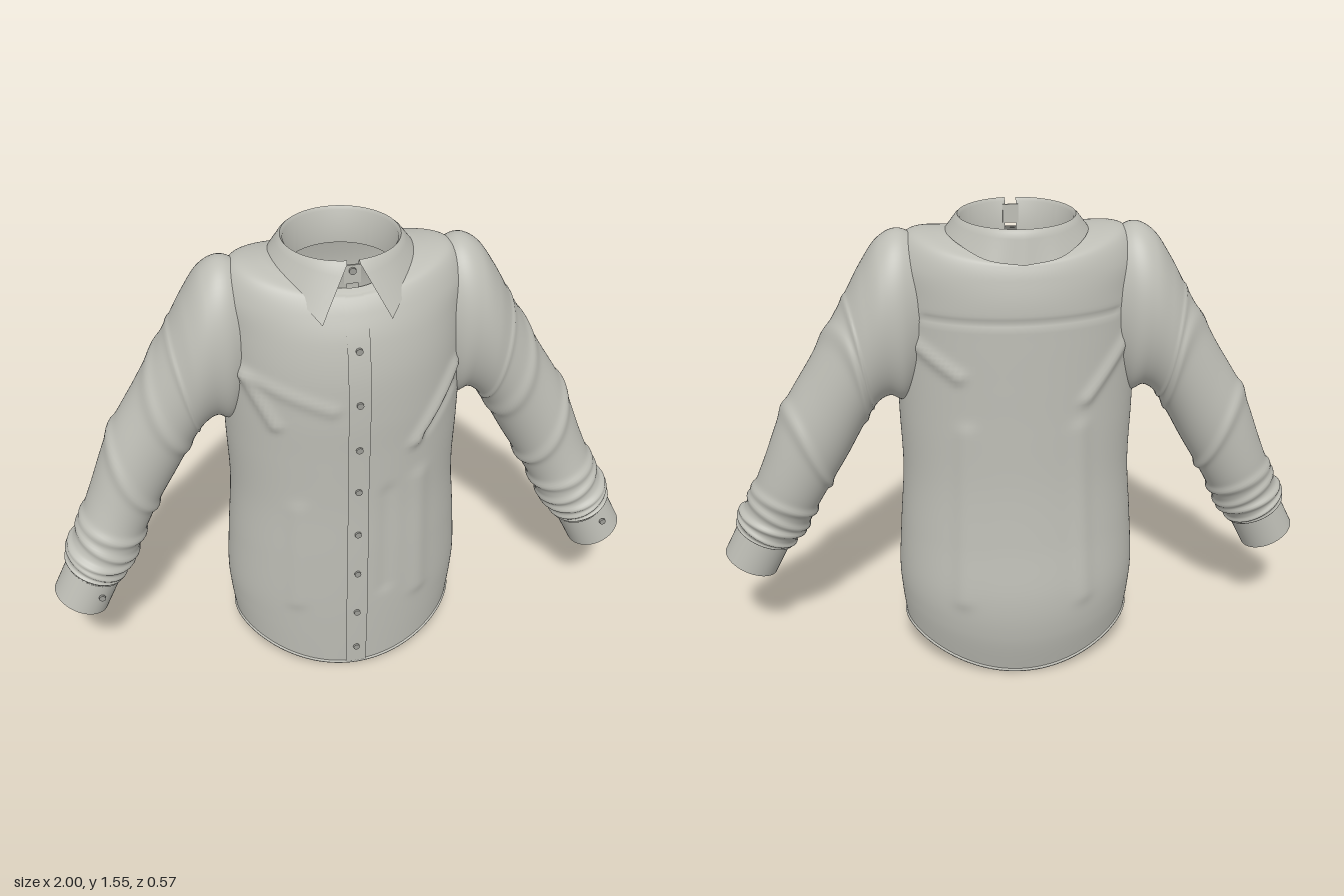
import * as THREE from 'three';
import { toCreasedNormals } from 'three/addons/utils/BufferGeometryUtils.js';

const fabric = new THREE.MeshStandardMaterial({ color: 0xbdbdb5, side: THREE.DoubleSide });
fabric.name = 'grey fabric';
const buttonGrey = new THREE.MeshStandardMaterial({ color: 0x9c9c96 });
buttonGrey.name = 'button grey';

// Smooth interpolation through rows of numbers; t runs from 0 to rows.length - 1
function smooth(rows, t) {
  const n = rows.length - 1;
  const i = Math.min(Math.floor(t), n - 1), f = t - i;
  const [p, a, b, q] = [rows[Math.max(i - 1, 0)], rows[i], rows[i + 1], rows[Math.min(i + 2, n)]];
  return a.map((_, k) => a[k] + 0.5 * f * (b[k] - p[k] + f * (2 * p[k] - 5 * a[k] + 4 * b[k] - q[k]
    + f * (3 * (a[k] - b[k]) + q[k] - p[k]))));
}

// Surface from a point function of u, v in 0..1
function surface(fn, nu, nv, closed) {
  const pos = [], idx = [], cols = closed ? nu : nu + 1;
  for (let j = 0; j <= nv; j++) {
    for (let i = 0; i < cols; i++) pos.push(...fn(i / nu, j / nv));
  }
  for (let j = 0; j < nv; j++) {
    for (let i = 0; i < nu; i++) {
      const k = (i + 1) % cols;
      const a = j * cols + i, b = j * cols + k, c = a + cols, d = b + cols;
      idx.push(a, b, d, a, d, c);
    }
  }
  const g = new THREE.BufferGeometry();
  g.setAttribute('position', new THREE.Float32BufferAttribute(pos, 3));
  g.setIndex(idx);
  g.computeVertexNormals();
  return g;
}

// Torso rings: height, half width, front depth, back depth, rise at the sides
const TORSO = [
  [0, 0.385, 0.25, 0.23, 0.125], [0.15, 0.397, 0.257, 0.268, 0.08], [0.3, 0.402, 0.262, 0.278, 0.03],
  [0.5, 0.392, 0.265, 0.257, 0], [0.7, 0.378, 0.266, 0.243, 0], [0.9, 0.383, 0.272, 0.24, 0],
  [1.05, 0.385, 0.278, 0.24, 0], [1.2, 0.385, 0.274, 0.24, 0], [1.32, 0.385, 0.252, 0.238, 0],
  [1.4, 0.385, 0.22, 0.225, 0.02], [1.44, 0.34, 0.195, 0.212, 0.06], [1.45, 0.25, 0.18, 0.205, 0.06],
  [1.46, 0.183, 0.163, 0.193, 0.04],
];
// Folds: side (1 front, -1 back), start x y, end x y, width, height
const FOLDS = [
  [1, 0.33, 1.14, 0.19, 0.93, 0.02, 0.014], [1, 0.33, 1.06, 0.23, 0.95, 0.016, -0.008],
  [1, -0.35, 1.2, -0.08, 1.1, 0.02, 0.008], [1, -0.33, 1.18, -0.25, 1.03, 0.018, 0.012],
  [1, 0.1, 0.35, 0.1, 0.75, 0.025, -0.006], [1, 0.22, 0.3, 0.21, 0.78, 0.03, 0.008],
  [1, -0.2, 0.3, -0.19, 0.7, 0.03, 0.006], [-1, -0.36, 1.2, -0.2, 1.0, 0.02, 0.012],
  [-1, 0.36, 1.2, 0.2, 1.09, 0.02, 0.012], [-1, 0.2, 0.3, 0.18, 0.9, 0.03, 0.008],
  [-1, -0.2, 0.3, -0.18, 0.9, 0.03, 0.008], [-1, -0.3, 1.27, 0.3, 1.27, 0.01, -0.006],
];

function foldHeight(x, y, side) {
  let h = 0;
  for (const [s, x1, y1, x2, y2, w, amp] of FOLDS) {
    if (s * side <= 0) continue;
    const dx = x2 - x1, dy = y2 - y1;
    const k = THREE.MathUtils.clamp(((x - x1) * dx + (y - y1) * dy) / (dx * dx + dy * dy), 0, 1);
    const d = Math.hypot(x - x1 - k * dx, y - y1 - k * dy) / w;
    h += amp * Math.exp(-d * d);
  }
  return h;
}

function torsoPoint(a, t, out = 0) {
  const [y, w, zf, zb, rise] = smooth(TORSO, t);
  const s = Math.sin(a), c = Math.cos(a), py = y + rise * s * s;
  const h = out + foldHeight(w * s, py, c);
  return [(w + h) * s, py, ((c > 0 ? zf : zb) + h) * c];
}

function torsoRow(y) {
  let t = 0;
  while (t < 11.9 && smooth(TORSO, t)[0] < y) t += 0.01;
  return t;
}

// Sleeve rings: top x y, underside x y, centre z, half depth
const SLEEVE = [
  [0.27, 1.46, 0.3, 1.05, -0.01, 0.11], [0.36, 1.512, 0.36, 0.955, -0.01, 0.155],
  [0.43, 1.485, 0.41, 0.968, -0.01, 0.16], [0.49, 1.4, 0.45, 0.945, -0.008, 0.155],
  [0.55, 1.29, 0.49, 0.885, -0.01, 0.142], [0.66, 1.1, 0.555, 0.765, -0.01, 0.127],
  [0.76, 0.93, 0.61, 0.67, -0.005, 0.12], [0.84, 0.73, 0.66, 0.58, 0.008, 0.117],
  [0.9, 0.59, 0.705, 0.49, 0.03, 0.113], [0.94, 0.515, 0.755, 0.42, 0.045, 0.112],
  [0.945, 0.475, 0.778, 0.395, 0.058, 0.097],
];
// Sleeve wrinkles: position along the rings, width, height, slant, turn
const WRINKLES = [
  [3.7, 0.08, 0.006, 0.3, 0.5], [4.3, 0.15, 0.009, 0.5, 1], [6.1, 0.15, 0.01, 0.25, 2],
  [7.5, 0.13, 0.009, 0.15, 0.5], [8.0, 0.13, 0.01, 0.12, 2.5], [8.5, 0.14, 0.012, 0.15, 1],
  [9.0, 0.15, 0.01, 0.12, 3], [9.5, 0.16, 0.009, 0.08, 0],
];
const CUFF = [
  [0.946, 0.477, 0.776, 0.392, 0.06, 0.096], [1.0, 0.37, 0.83, 0.285, 0.068, 0.097],
  [0.993, 0.367, 0.837, 0.288, 0.068, 0.089], [0.939, 0.474, 0.783, 0.395, 0.06, 0.088],
];

function sleevePoint(rows, side, a, t, wrinkles = []) {
  const [tx, ty, bx, by, zc, zr] = smooth(rows, t);
  let h = 0;
  for (const [p, w, amp, slant, turn] of wrinkles) {
    h += amp * Math.exp(-(((t - p - slant * Math.cos(a - turn)) / w) ** 2));
  }
  const len = Math.hypot(tx - bx, ty - by) / 2, k = Math.cos(a) * (1 + h / len) / 2;
  return [side * ((tx + bx) / 2 + (tx - bx) * k), (ty + by) / 2 + (ty - by) * k, zc + (zr + h) * Math.sin(a)];
}

export function createModel() {
  const shirt = new THREE.Group();
  shirt.name = 'shirt';
  const add = (name, geometry, material = fabric, parent = shirt) => {
    const mesh = new THREE.Mesh(geometry, material);
    mesh.name = name;
    parent.add(mesh);
    return mesh;
  };
  const TAU = Math.PI * 2, last = TORSO.length - 1;

  // Body with a curved hem and a raised edge along it
  add('torso', surface((u, v) => torsoPoint(u * TAU, v * last), 144, 130, true));
  const hem = Array.from({ length: 64 }, (_, i) => new THREE.Vector3(...torsoPoint(i / 64 * TAU, 0.04)));
  add('hem', new THREE.TubeGeometry(new THREE.CatmullRomCurve3(hem, true), 128, 0.006, 6, true));

  // Button strip and buttons down the front
  add('placket', surface((u, v) => torsoPoint((u - 0.5) * 0.18, v * 11.5, 0.004), 8, 90, false));
  const button = new THREE.CylinderGeometry(0.011, 0.011, 0.008, 16).rotateX(Math.PI / 2);
  for (const y of [0.08, 0.25, 0.43, 0.6, 0.78, 0.95, 1.12, 1.3]) {
    const [x, py, z] = torsoPoint(0, torsoRow(y), 0.007);
    add('frontButton', button, buttonGrey).position.set(x, py, z);
  }

  // Sleeves and cuffs
  for (const side of [1, -1]) {
    const arm = new THREE.Group();
    arm.name = side > 0 ? 'leftSleeve' : 'rightSleeve';
    shirt.add(arm);
    add('sleeve', surface((u, v) => sleevePoint(SLEEVE, side, side * u * TAU, v * 10, WRINKLES), 72, 150, true), fabric, arm);
    const cuff = surface((u, v) => sleevePoint(CUFF, side, side * u * TAU, v * 3), 48, 3, true);
    add('cuff', toCreasedNormals(cuff, 0.8), fabric, arm);
    const [bx, by] = side > 0 ? [0.91, 0.415] : [-0.845, 0.38];
    add('cuffButton', button, buttonGrey, arm).position.set(bx, by, 0.16);
  }

  // Collar: an upright stand folding over into a leaf with two front points
  const edge = new THREE.CatmullRomCurve3([
    [0.105, 1.385, 0.238], [0.165, 1.445, 0.165], [0.213, 1.49, 0.07], [0.222, 1.505, -0.03],
    [0.19, 1.495, -0.13], [0.11, 1.465, -0.208], [0, 1.45, -0.228],
  ].map((p) => new THREE.Vector3(...p)));
  const profile = [[0.174, 1.43], [0.175, 1.542], [0.183, 1.553], [0.192, 1.545]];
  add('collar', toCreasedNormals(surface((u, v) => {
    const k = u * 2 - 1, s = 1 - Math.abs(k), side = Math.sign(k);
    const j = Math.round(v * 8);
    const a = 0.1 + s * (Math.PI - 0.1);
    const ring = ([r, y]) => new THREE.Vector3(r * Math.sin(a), y, r * Math.cos(a) - 0.015);
    const p = j < 4 ? ring(profile[j]) : ring(profile[3]).lerp(edge.getPoint(s), (j - 3) / 5);
    return [side * p.x, p.y, p.z];
  }, 96, 8, false), 0.9));
  add('collarTab', new THREE.BoxGeometry(0.05, 0.06, 0.006)).position.set(0, 1.503, 0.157);
  add('collarButton', button, buttonGrey).position.set(0, 1.515, 0.163);
  return shirt;
}
